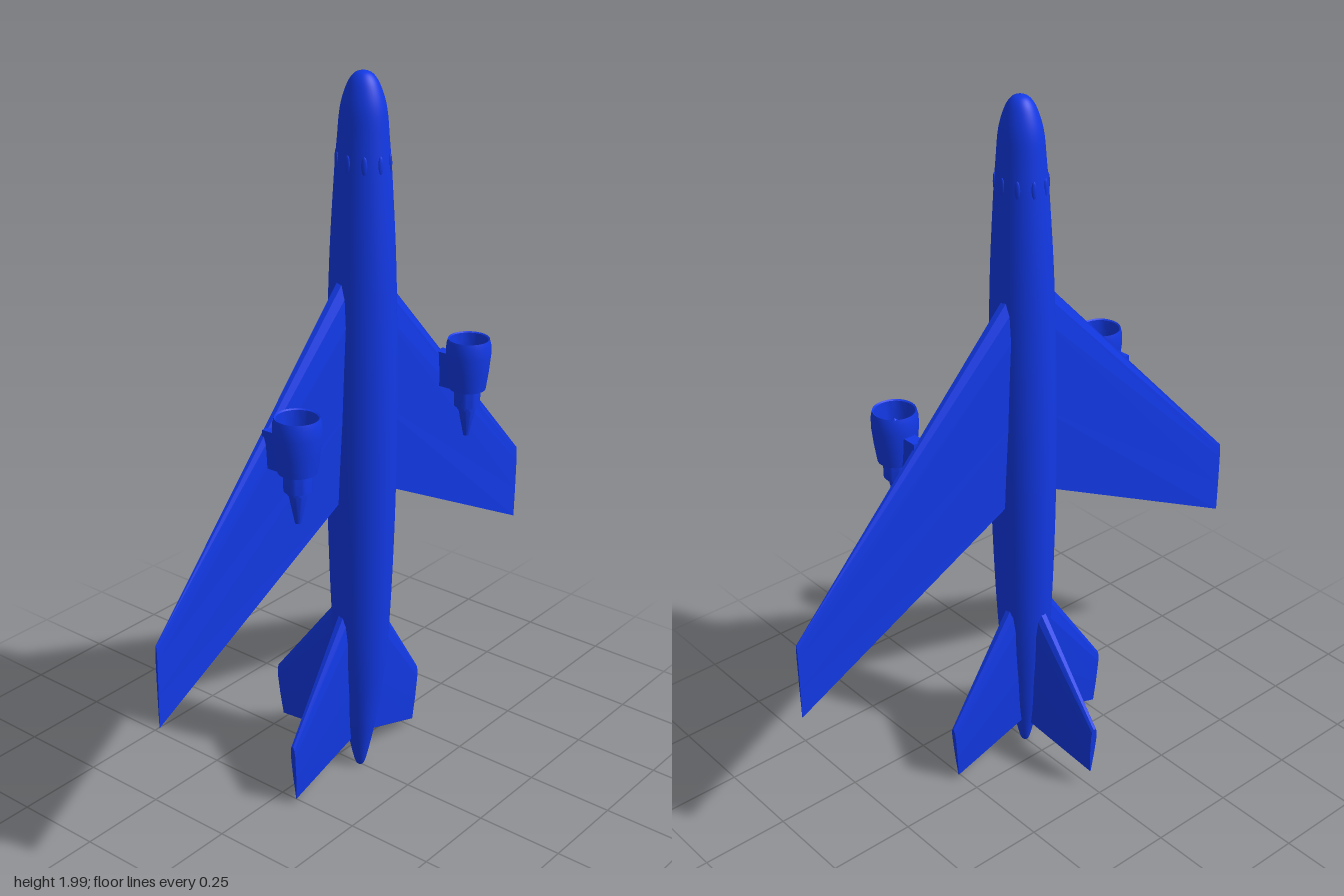
import * as THREE from 'three';
import { toCreasedNormals } from 'three/addons/utils/BufferGeometryUtils.js';

const AXIS_Z = 0.077; // fuselage centre line
const smooth = new THREE.MeshStandardMaterial({ color: 0x1239e6 });
const flat = new THREE.MeshStandardMaterial({ color: 0x1239e6, flatShading: true });

function add(parent, name, geometry, material = smooth) {
  const mesh = new THREE.Mesh(geometry, material);
  mesh.name = name;
  parent.add(mesh);
  return mesh;
}

function lathe(points, segments = 32) {
  const profile = points.map(([r, y]) => new THREE.Vector2(r, y));
  return toCreasedNormals(new THREE.LatheGeometry(profile, segments), 0.6);
}

// Tapered surface along +x. Station: [leadX, leadY, trailX, trailY, half thickness]
const SECTION = [[0, 0.35], [0.06, 0.8], [0.18, 1], [0.6, 0.7], [1, 0.12]];
function foil(root, tip) {
  const loop = [...SECTION, ...SECTION.map(([f, t]) => [f, -t]).reverse()];
  const n = loop.length, pos = [], index = [];
  for (const [lx, ly, tx, ty, h] of [root, tip]) {
    for (const [f, t] of loop) pos.push(lx + (tx - lx) * f, ly + (ty - ly) * f, t * h);
  }
  for (let i = 0; i < n; i++) {
    const j = (i + 1) % n;
    index.push(i, j, n + j, i, n + j, n + i);
  }
  for (let i = 1; i < n - 1; i++) index.push(n, n + i, n + i + 1, 0, i + 1, i);
  const g = new THREE.BufferGeometry();
  g.setAttribute('position', new THREE.Float32BufferAttribute(pos, 3));
  g.setIndex(index);
  g.computeVertexNormals();
  return g;
}

function createEngine() {
  const engine = new THREE.Group();
  // Open duct with a thin wall
  add(engine, 'nacelle', lathe([
    [0.046, 1.08], [0.05, 1.08], [0.057, 1.13], [0.062, 1.18], [0.061, 1.21], [0.057, 1.225],
    [0.053, 1.222], [0.051, 1.19], [0.05, 1.13], [0.046, 1.08],
  ]));
  // Stepped core, exhaust cone and spinner
  add(engine, 'engineCore', lathe([
    [0, 0.94], [0.008, 0.94], [0.024, 1.02], [0.027, 1.02], [0.027, 1.03], [0.036, 1.03],
    [0.036, 1.1], [0.03, 1.15], [0.018, 1.17], [0.012, 1.19], [0, 1.2],
  ]));
  // Fan blades reach from the core to the duct
  const blades = new THREE.Group();
  blades.name = 'fan';
  for (let i = 0; i < 16; i++) {
    const pivot = new THREE.Group();
    pivot.rotation.y = (i / 16) * Math.PI * 2;
    const blade = add(pivot, 'fanBlade', new THREE.BoxGeometry(0.038, 0.02, 0.005), flat);
    blade.position.set(0.032, 1.155, 0);
    blades.add(pivot);
  }
  engine.add(blades);
  // Strut joining the duct to the wing
  const pylon = add(engine, 'pylon', new THREE.BoxGeometry(0.034, 0.1, 0.055), flat);
  pylon.position.set(0, 1.12, -0.072);
  return engine;
}

export function createModel() {
  const plane = new THREE.Group();
  plane.name = 'airplane';

  // Fuselage: spline profile, slightly taller than wide
  const profile = new THREE.SplineCurve([
    [0, 0.01], [0.012, 0.02], [0.029, 0.1], [0.045, 0.2], [0.065, 0.38], [0.076, 0.6], [0.083, 0.9],
    [0.083, 1.2], [0.077, 1.5], [0.066, 1.73], [0.059, 1.83], [0.052, 1.91], [0.037, 1.965],
    [0.02, 1.992], [0, 2],
  ].map(([r, y]) => new THREE.Vector2(r, y))).getPoints(70);
  profile.forEach((p) => { p.x = Math.max(p.x, 0); });
  const body = add(plane, 'fuselage', new THREE.LatheGeometry(profile, 40));
  body.scale.z = 1.18;
  body.position.z = AXIS_Z;

  // Ring of small windows behind the nose
  const windows = new THREE.Group();
  windows.name = 'noseWindows';
  for (let i = 0; i < 10; i++) {
    const a = ((i + 0.5) / 10) * Math.PI * 2;
    const pane = add(windows, 'noseWindow', new THREE.SphereGeometry(1, 10, 8));
    pane.scale.set(0.007, 0.025, 0.004);
    pane.position.set(Math.sin(a) * 0.0625, 1.775, Math.cos(a) * 0.0625);
    pane.rotation.y = a;
  }
  windows.scale.z = 1.18;
  windows.position.z = AXIS_Z;
  plane.add(windows);

  // Paired wings, tailplanes and engines
  const wing = foil([0.02, 1.53, 0.02, 0.89, 0.027], [0.773, 0.735, 0.773, 0.505, 0.003]);
  const tailplane = foil([0.02, 0.59, 0, 0.11, 0.026], [0.28, 0.2, 0.265, 0.025, 0.008]);
  for (const [side, sign] of [['left', 1], ['right', -1]]) {
    const turn = sign > 0 ? 0 : Math.PI;
    const w = add(plane, side + 'Wing', wing, flat);
    w.position.z = 0.062;
    w.rotation.y = turn;
    const t = add(plane, side + 'Tailplane', tailplane, flat);
    t.position.z = 0.064;
    t.rotation.y = turn;
    const engine = createEngine();
    engine.name = side + 'Engine';
    engine.position.set(sign * 0.36, 0, 0.162);
    plane.add(engine);
  }

  // Upright fin on the back of the tail
  const fin = add(plane, 'tailFin',
    foil([-0.04, 0.567, -0.07, 0.09, 0.024], [0.225, 0.225, 0.21, 0.065, 0.011]), flat);
  fin.rotation.y = Math.PI / 2;
  return plane;
}
